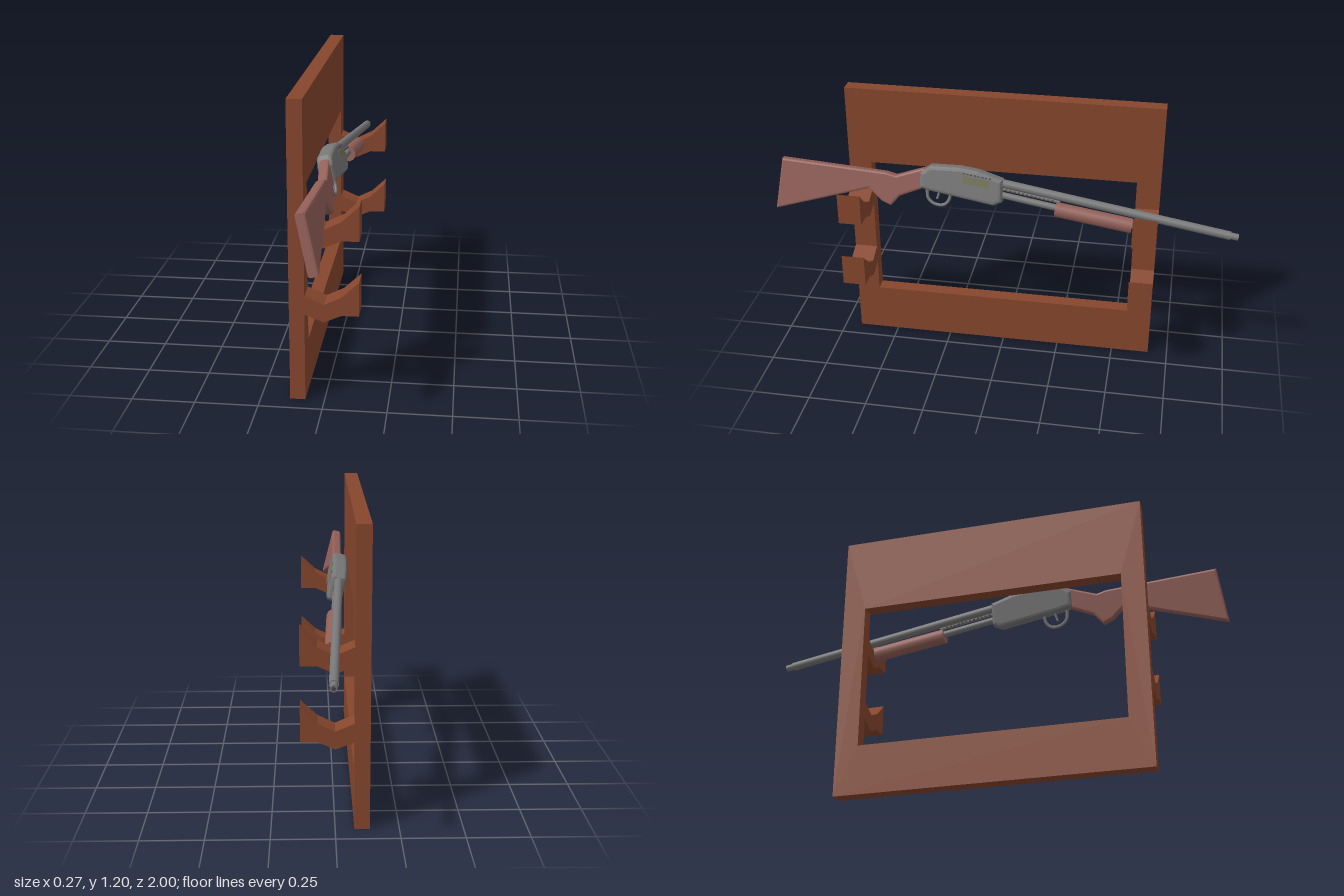
import * as THREE from 'three';

const mat = (color) => new THREE.MeshStandardMaterial({ color });
const rackWood = mat(0x86462d), stockWood = mat(0x925f58), metal = mat(0x777777), portMetal = mat(0x75745c), dark = mat(0x4a4a4a);

const toShape = (pts) => new THREE.Shape(pts.map(([a, b]) => new THREE.Vector2(a, b)));

function add(parent, name, geometry, material) {
  const mesh = new THREE.Mesh(geometry, material);
  mesh.name = name;
  parent.add(mesh);
  return mesh;
}

// Side profile in (z, y), extruded to a given width centred on x = 0
function sideExtrude(shape, width, bevel = 0, segments = 2) {
  const g = new THREE.ExtrudeGeometry(shape, {
    depth: width - 2 * bevel, bevelEnabled: bevel > 0, bevelSize: bevel,
    bevelThickness: bevel, bevelOffset: -bevel, bevelSegments: segments, curveSegments: 6,
  });
  g.translate(0, 0, -(width - 2 * bevel) / 2);
  g.rotateY(-Math.PI / 2);
  return g;
}

// Round rod between two (z, y) points in the centre plane
function rod(parent, name, a, b, r, material, sides = 16) {
  const p = new THREE.Vector3(0, a[1], a[0]), q = new THREE.Vector3(0, b[1], b[0]);
  const d = q.clone().sub(p);
  const mesh = add(parent, name, new THREE.CylinderGeometry(r, r, d.length(), sides), material);
  mesh.position.copy(p).add(q).multiplyScalar(0.5);
  mesh.quaternion.setFromUnitVectors(new THREE.Vector3(0, 1, 0), d.normalize());
  return mesh;
}

function buildRack() {
  const rack = new THREE.Group();
  rack.name = 'rack';

  // Upright frame with its rectangular opening
  const board = toShape([[-0.665, 0], [0.678, 0], [0.678, 1.2], [-0.665, 1.2]]);
  board.holes.push(toShape([[-0.565, 0.215], [-0.565, 0.86], [0.58, 0.86], [0.58, 0.215]]));
  add(rack, 'frame', sideExtrude(board, 0.06), rackWood).position.x = -0.105;

  // Four cradle hooks
  const hook = toShape([[-0.075, 0.36], [0, 0.332], [0.067, 0.362], [0.134, 0.362],
    [0.134, 0.5], [0.067, 0.437], [0, 0.404], [-0.075, 0.436]]);
  for (const z of [-0.665, 0.579]) for (const y of [0, 0.302]) {
    const g = new THREE.ExtrudeGeometry(hook, { depth: 0.099, bevelEnabled: false });
    add(rack, 'hook', g, rackWood).position.set(0, y, z);
  }
  return rack;
}

function buildGun() {
  const gun = new THREE.Group();
  gun.name = 'longGun';

  // Shoulder stock with its grip
  add(gun, 'stock', sideExtrude(toShape([[0.968, 0.868], [0.998, 0.645], [0.58, 0.767], [0.52, 0.716],
    [0.48, 0.7], [0.44, 0.745], [0.33, 0.79], [0.33, 0.875], [0.46, 0.832], [0.5, 0.842]]), 0.042, 0.009), stockWood);

  // Receiver body
  add(gun, 'receiver', sideExtrude(toShape([[0.352, 0.79], [0.352, 0.855], [0.31, 0.888], [0.18, 0.89],
    [0.1, 0.88], [-0.005, 0.85], [-0.005, 0.755], [0.03, 0.738], [0.3, 0.778]]), 0.066, 0.016, 3), metal);

  // Ejection port and the row of small grooves above it
  add(gun, 'ejectionPort', sideExtrude(toShape([[0.165, 0.826], [0.165, 0.857], [0.05, 0.842],
    [0.05, 0.811]]), 0.004), portMetal).position.x = 0.033;
  for (let i = 0; i < 8; i++) {
    add(gun, 'groove', new THREE.BoxGeometry(0.003, 0.005, 0.008), dark)
      .position.set(0.032, 0.867 - i * 0.002, 0.16 - i * 0.016);
  }

  // Trigger guard and trigger
  const guard = new THREE.CatmullRomCurve3([[0.325, 0.782], [0.318, 0.742], [0.29, 0.72], [0.25, 0.719],
    [0.228, 0.74], [0.222, 0.768]].map(([z, y]) => new THREE.Vector3(0, y, z)));
  add(gun, 'triggerGuard', new THREE.TubeGeometry(guard, 24, 0.007, 8), metal);
  rod(gun, 'trigger', [0.268, 0.78], [0.28, 0.742], 0.005, metal, 8);

  // Barrel, muzzle and magazine tube
  rod(gun, 'barrel', [0.02, 0.835], [-0.965, 0.693], 0.018, metal);
  rod(gun, 'muzzle', [-0.96, 0.694], [-0.997, 0.689], 0.014, metal);
  rod(gun, 'bore', [-0.99, 0.69], [-0.9985, 0.6888], 0.008, dark);
  rod(gun, 'magazineTube', [0.02, 0.785], [-0.575, 0.698], 0.014, metal);

  // Action bar with teeth between barrel and magazine tube
  rod(gun, 'actionBar', [0, 0.808], [-0.25, 0.772], 0.007, metal, 8);
  for (let i = 0; i < 12; i++) {
    add(gun, 'tooth', new THREE.BoxGeometry(0.02, 0.006, 0.008), dark)
      .position.set(0, 0.805 - i * 0.0026, -0.02 - i * 0.018);
  }

  // Sliding fore-end grip
  rod(gun, 'foreEnd', [-0.232, 0.741], [-0.558, 0.698], 0.032, stockWood, 12);

  // Leaned sideways into the hooks; the y scale offsets the lean
  const lean = 0.231;
  gun.scale.y = 1 / Math.cos(lean);
  gun.rotation.set(0, -0.0085, lean);
  gun.position.x = 0.167;
  return gun;
}

export function createModel() {
  const model = new THREE.Group();
  model.name = 'rackWithLongGun';
  model.add(buildRack(), buildGun());
  return model;
}
